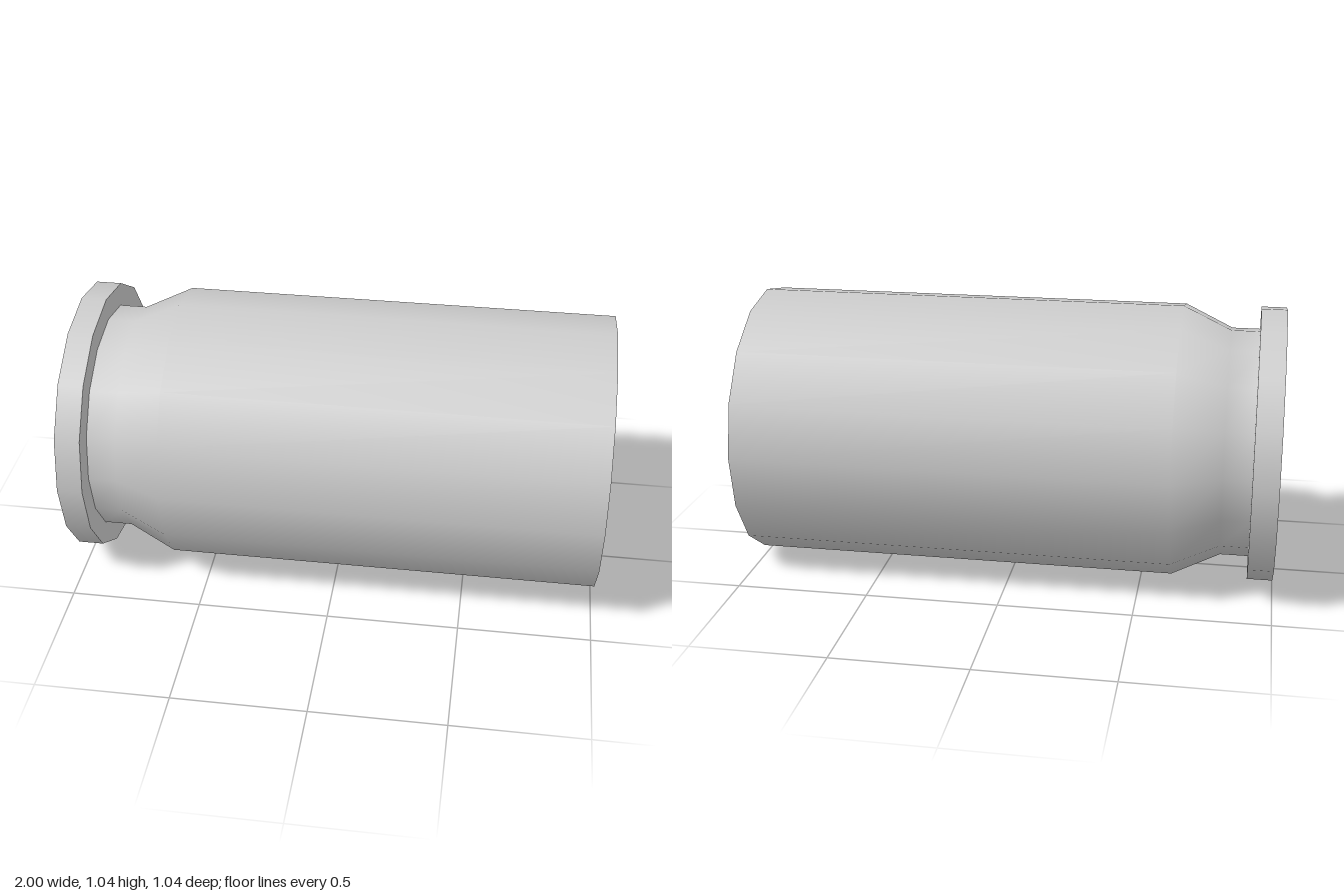
import * as THREE from 'three';

const SIDES = 16;
const R = 0.52;      // body and rim radius
const NECK = 0.434;  // groove radius

export function createModel() {
  const group = new THREE.Group();
  const material = new THREE.MeshStandardMaterial({ color: 0xcccccc, side: THREE.DoubleSide });

  // Turned surface along x; profile is a list of [radius, x]
  const turned = (name, profile, parent) => {
    const points = profile.map(([r, x]) => new THREE.Vector2(r, x));
    const geometry = new THREE.LatheGeometry(points, SIDES);
    geometry.rotateZ(-Math.PI / 2);
    geometry.translate(0, R, 0);
    const mesh = new THREE.Mesh(geometry, material);
    mesh.name = name;
    parent.add(mesh);
  };

  // Thin open tube with its neck and shoulder
  turned('casingWall', [[NECK, -0.905], [NECK, -0.8], [R, -0.62], [R, 1]], group);

  // Rim, in separate pieces so its edges stay sharp
  const rim = new THREE.Group();
  rim.name = 'rim';
  turned('baseDisc', [[0, -1], [R, -1]], rim);
  turned('rimEdge', [[R, -1], [R, -0.905]], rim);
  turned('rimShoulder', [[R, -0.905], [NECK, -0.905]], rim);
  group.add(rim);

  return group;
}
